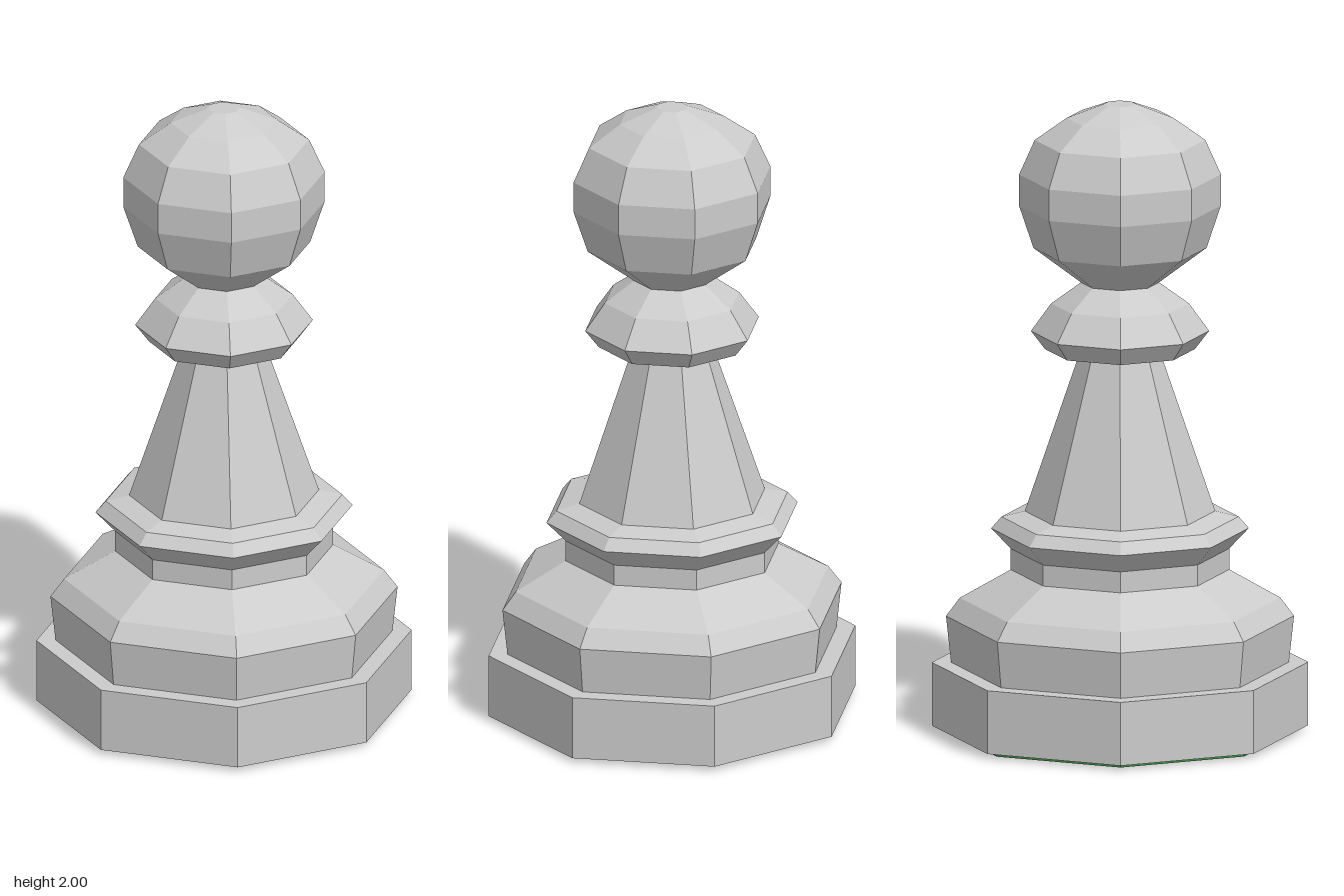
import * as THREE from 'three';

const SIDES = 8;
const grey = new THREE.MeshStandardMaterial({ color: 0xcccccc, flatShading: true });
const green = new THREE.MeshStandardMaterial({ color: 0x3f8545, flatShading: true });

// Faceted ring part turned from a [radius, height] profile, listed bottom to top
function turned(name, profile, material = grey) {
  const points = profile.map(([r, y]) => new THREE.Vector2(r, y));
  const geometry = new THREE.LatheGeometry(points, SIDES).toNonIndexed();
  geometry.computeVertexNormals();
  const mesh = new THREE.Mesh(geometry, material);
  mesh.name = name;
  return mesh;
}

export function createModel() {
  const pawn = new THREE.Group();
  pawn.name = 'pawn';
  pawn.add(
    // Felt pad under the foot
    turned('feltPad', [[0, 0], [0.545, 0], [0.545, 0.015]], green),
    // Wide foot with a flat ledge on top
    turned('foot', [[0.545, 0.015], [0.587, 0.015], [0.587, 0.217], [0.527, 0.217]]),
    // Flared drum with a sloping shoulder
    turned('drum', [[0.527, 0.217], [0.543, 0.365], [0.5, 0.423], [0.341, 0.513]]),
    // Short waist below the collar
    turned('waist', [[0.341, 0.513], [0.341, 0.58]]),
    // Lower collar
    turned('lowerCollar', [[0.341, 0.58], [0.402, 0.645], [0.37, 0.682], [0.297, 0.7]]),
    // Tapering stem
    turned('stem', [[0.297, 0.7], [0.122, 1.217]]),
    // Upper collar under the head
    turned('upperCollar', [[0.122, 1.217], [0.234, 1.217], [0.278, 1.275], [0.215, 1.363], [0.122, 1.43]]),
    // Ball head with a small flat top
    turned('head', [
      [0.122, 1.43], [0.27, 1.54], [0.315, 1.675], [0.315, 1.775],
      [0.266, 1.885], [0.167, 1.955], [0.05, 2], [0, 2],
    ]),
  );
  return pawn;
}
